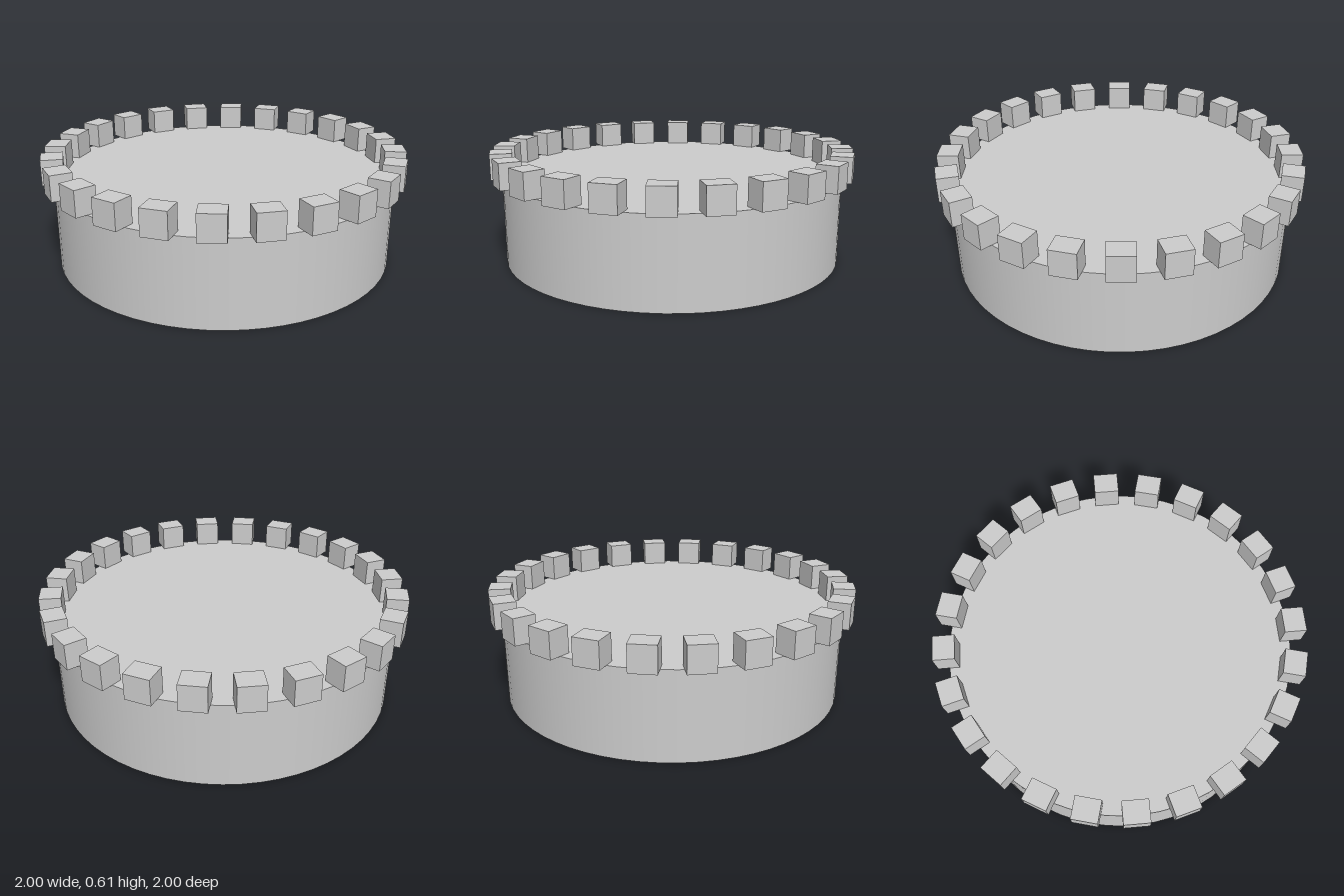
import * as THREE from 'three';

export function createModel() {
  const model = new THREE.Group();
  model.name = 'crenellatedTower';
  const stone = new THREE.MeshStandardMaterial({ color: 0xcccccc });
  stone.name = 'light grey stone';

  // Round solid drum
  const radius = 0.94, wallHeight = 0.472;
  const drum = new THREE.Mesh(new THREE.CylinderGeometry(radius, radius, wallHeight, 64), stone);
  drum.name = 'drum';
  drum.position.y = wallHeight / 2;
  model.add(drum);

  // Ring of battlement blocks straddling the rim
  const count = 24, width = 0.137, height = 0.14, depth = 0.118;
  const battlements = new THREE.Group();
  battlements.name = 'battlements';
  const block = new THREE.BoxGeometry(width, height, depth);
  for (let i = 0; i < count; i++) {
    const angle = (i / count) * Math.PI * 2;
    const merlon = new THREE.Mesh(block, stone);
    merlon.name = 'merlon';
    merlon.position.set(Math.sin(angle) * radius, wallHeight + height / 2, Math.cos(angle) * radius);
    merlon.rotation.y = angle;
    battlements.add(merlon);
  }
  model.add(battlements);
  return model;
}
